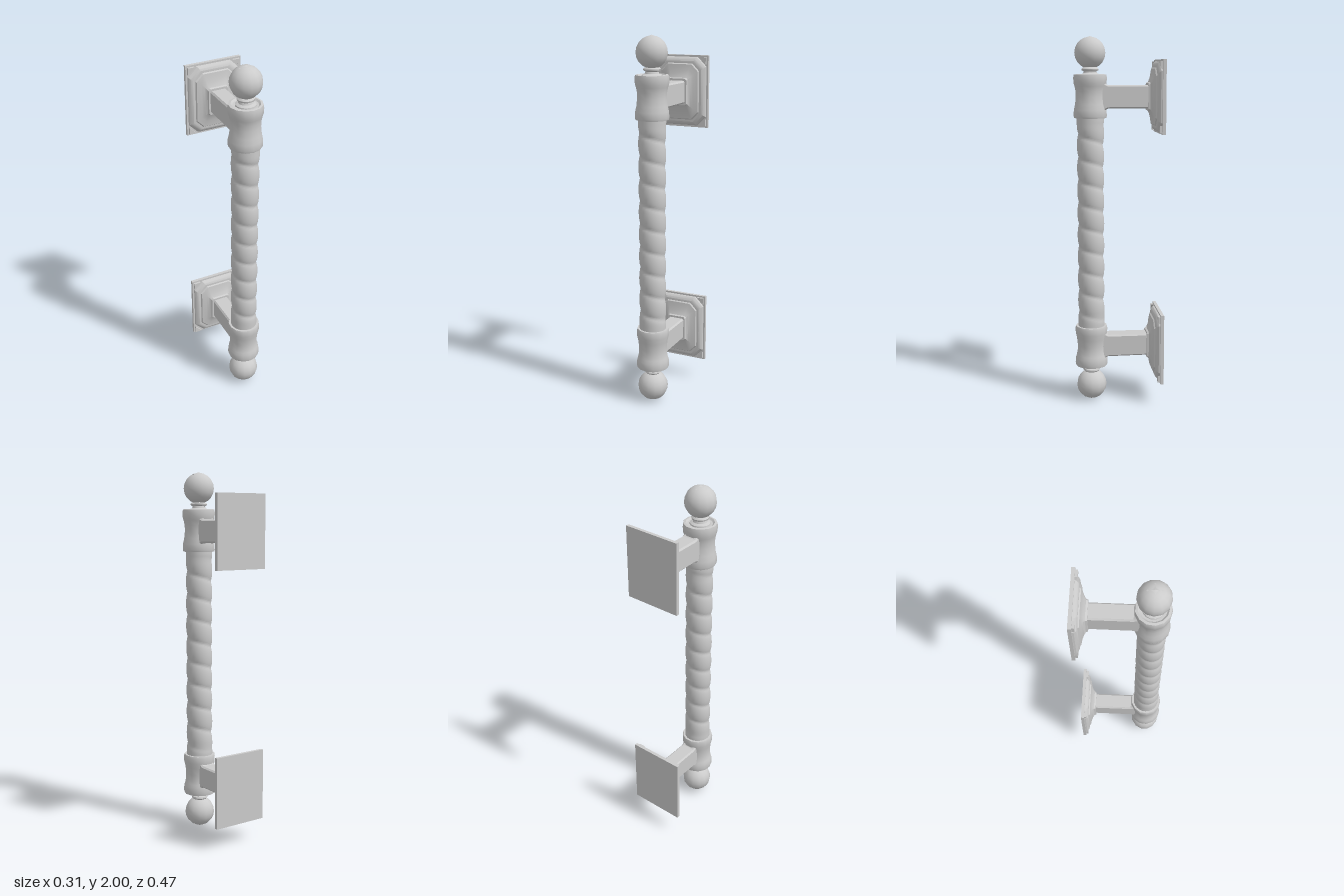
import * as THREE from 'three';
import { mergeVertices, toCreasedNormals } from 'three/addons/utils/BufferGeometryUtils.js';

const MID_Y = 1.005;   // mirror height between the two brackets
const MOUNT = 0.685;   // bracket distance from MID_Y
const BAR_Z = 0.145;

const material = new THREE.MeshStandardMaterial({ color: 0xcccccc });

function add(parent, name, geometry, x = 0, y = 0, z = 0) {
  const mesh = new THREE.Mesh(geometry, material);
  mesh.name = name;
  mesh.position.set(x, y, z);
  parent.add(mesh);
  return mesh;
}

// Loft of corner-cut rectangles: each ring is [z, halfWidth, halfHeight, cornerCut]
function loftRects(rings) {
  const pos = [], idx = [];
  for (const [z, w, h, c] of rings) {
    for (const [x, y] of [[w, -h + c], [w, h - c], [w - c, h], [-w + c, h],
      [-w, h - c], [-w, -h + c], [-w + c, -h], [w - c, -h]]) pos.push(x, y, z);
  }
  for (let r = 0; r < rings.length - 1; r++) {
    for (let i = 0; i < 8; i++) {
      const a = r * 8 + i, b = r * 8 + (i + 1) % 8;
      idx.push(a, b, b + 8, a, b + 8, a + 8);
    }
  }
  const last = (rings.length - 1) * 8;
  for (let i = 1; i < 7; i++) {
    idx.push(0, i + 1, i);
    idx.push(last, last + i, last + i + 1);
  }
  const g = new THREE.BufferGeometry();
  g.setAttribute('position', new THREE.Float32BufferAttribute(pos, 3));
  g.setIndex(idx);
  return toCreasedNormals(g, 0.4);
}

function lathe(points, segments, crease = 0.6) {
  const g = new THREE.LatheGeometry(points.map(p => new THREE.Vector2(...p)), segments);
  return toCreasedNormals(g, crease);
}

// Cylinder wound with one spiral groove that fades out at both ends
function twistedBar(length, pitch) {
  let g = new THREE.CylinderGeometry(1, 1, length, 24, 160, true);
  const p = g.attributes.position;
  for (let i = 0; i < p.count; i++) {
    const x = p.getX(i), y = p.getY(i), z = p.getZ(i);
    const turn = y / pitch + Math.atan2(x, z) / (2 * Math.PI);
    const f = turn - Math.floor(turn);
    const fade = THREE.MathUtils.clamp((length / 2 - Math.abs(y) - 0.03) / 0.06, 0, 1);
    const r = 0.073 - 0.011 * fade * (1 - Math.sqrt(Math.max(0, Math.sin(Math.PI * f))));
    p.setXYZ(i, x * r, y, z * r);
  }
  g.deleteAttribute('uv');
  g.deleteAttribute('normal');
  g = mergeVertices(g, 1e-5);
  g.computeVertexNormals();
  return g;
}

// One end of the handle, with heights measured from the bracket centre outwards
function createEnd() {
  const end = new THREE.Group();

  // Waisted collar with a hollowed outer rim
  add(end, 'collar', lathe([
    [0.06, -0.112], [0.086, -0.112], [0.089, -0.102], [0.088, -0.07], [0.081, -0.04],
    [0.077, 0], [0.078, 0.03], [0.083, 0.055], [0.088, 0.07], [0.09, 0.1],
    [0.087, 0.116], [0.075, 0.118], [0.066, 0.11], [0.03, 0.108],
  ], 13), 0, 0, BAR_Z);

  // Neck and ball finial
  add(end, 'finialNeck', lathe([
    [0.056, 0.1], [0.053, 0.116], [0.038, 0.123], [0.034, 0.133],
    [0.044, 0.138], [0.046, 0.146], [0.038, 0.154],
  ], 14), 0, 0, BAR_Z);
  const ball = new THREE.SphereGeometry(0.083, 13, 10);
  add(end, 'finialBall', ball, 0, 0.229, BAR_Z);
  add(end, 'finialTip', new THREE.ConeGeometry(0.04, 0.012, 4), 0, 0.309, BAR_Z);

  // Arm, widening slightly where it meets the collar
  add(end, 'arm', loftRects([
    [-0.17, 0.045, 0.061, 0.008], [0.055, 0.045, 0.062, 0.008],
    [0.075, 0.045, 0.072, 0.008], [0.095, 0.045, 0.085, 0.008],
  ]));

  // Wall plate, stepped moulding and flared arm socket
  add(end, 'wallPlate', new THREE.BoxGeometry(0.31, 0.39, 0.018), 0, 0, -0.23);
  add(end, 'plateMoulding', loftRects([
    [-0.224, 0.146, 0.186, 0.05], [-0.213, 0.143, 0.183, 0.05],
    [-0.203, 0.134, 0.174, 0.048], [-0.198, 0.124, 0.164, 0.045],
    [-0.198, 0.112, 0.152, 0.04], [-0.191, 0.107, 0.147, 0.038],
    [-0.186, 0.082, 0.118, 0.025], [-0.178, 0.066, 0.092, 0.014],
    [-0.17, 0.057, 0.076, 0.009], [-0.16, 0.054, 0.072, 0.009],
  ]));

  // Raised triangles in the plate corners
  for (const sx of [-1, 1]) {
    for (const sy of [-1, 1]) {
      const shape = new THREE.Shape([[0.146, 0.186], [0.108, 0.186], [0.146, 0.148]]
        .map(([x, y]) => new THREE.Vector2(sx * x, sy * y)));
      add(end, 'plateCorner', new THREE.ExtrudeGeometry(shape, { depth: 0.016, bevelEnabled: false }),
        0, 0, -0.224);
    }
  }
  return end;
}

export function createModel() {
  const model = new THREE.Group();
  model.name = 'doorPull';

  add(model, 'twistedBar', twistedBar(1.17, 0.122), 0, MID_Y, BAR_Z);

  const top = createEnd();
  top.name = 'topEnd';
  top.position.y = MID_Y + MOUNT;
  model.add(top);

  // Lower end is the same assembly turned upside down about the z axis
  const bottom = createEnd();
  bottom.name = 'bottomEnd';
  bottom.position.y = MID_Y - MOUNT;
  bottom.rotation.z = Math.PI;
  model.add(bottom);

  model.position.y = -0.005;
  const root = new THREE.Group();
  root.add(model);
  return root;
}
